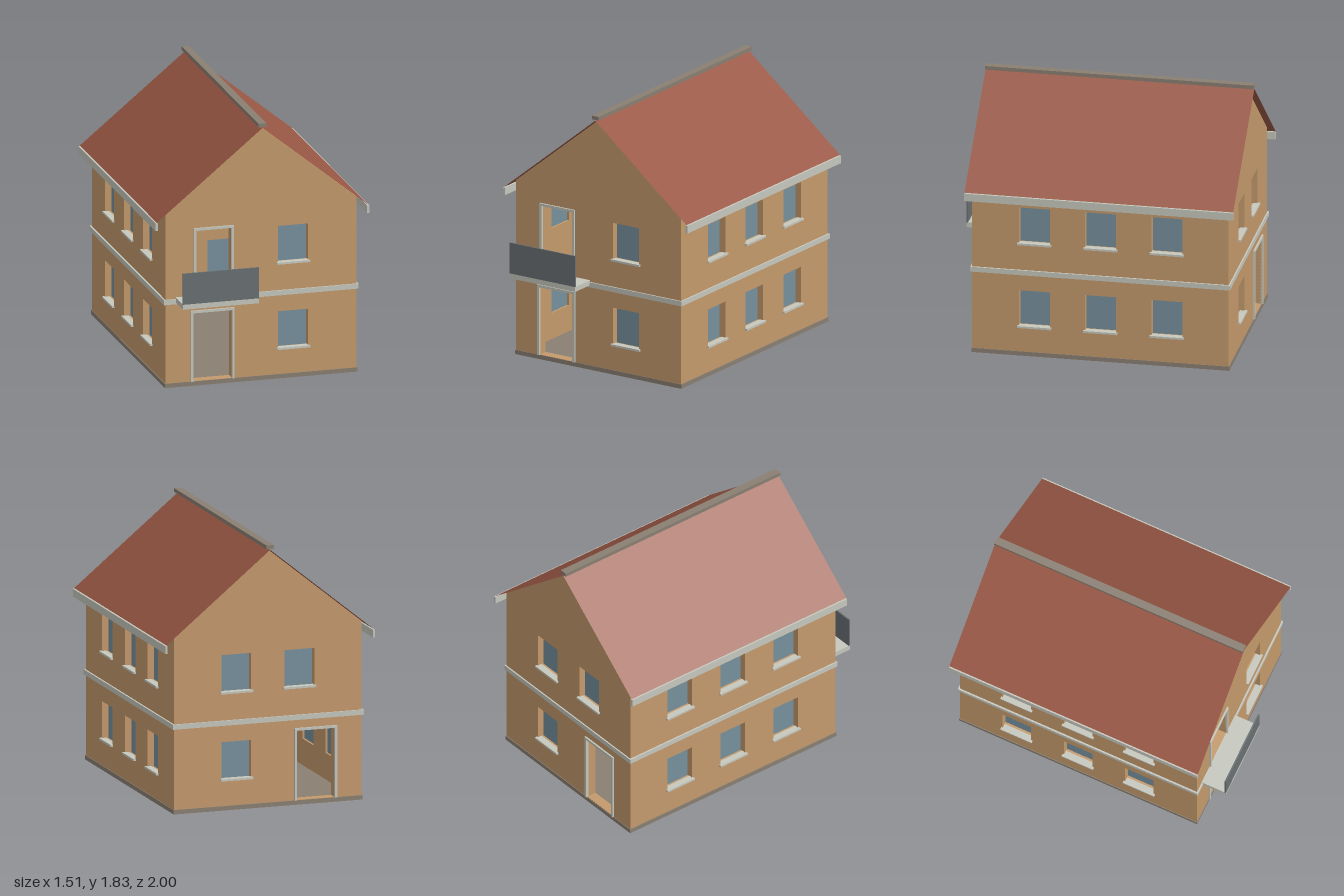
import * as THREE from 'three';

const mat = (name, color, side = THREE.FrontSide) => {
  const m = new THREE.MeshStandardMaterial({ color, side });
  m.name = name;
  return m;
};

export function createModel() {
  const wallMat = mat('ochre render', 0xc49a6c);
  const trimMat = mat('pale grey trim', 0xc6c7bd);
  const roofMat = mat('red roof', 0x9a5845, THREE.DoubleSide);
  const stoneMat = mat('taupe stone', 0x8a7f72);
  const glassMat = mat('blue glass', 0x76909d);
  const panelMat = mat('dark balcony panel', 0x696f72);

  const house = new THREE.Group();
  house.name = 'house';

  // Box given by its minimum and maximum corners
  const box = (parent, name, material, x0, x1, y0, y1, z0, z1) => {
    const mesh = new THREE.Mesh(new THREE.BoxGeometry(x1 - x0, y1 - y0, z1 - z0), material);
    mesh.position.set((x0 + x1) / 2, (y0 + y1) / 2, (z0 + z1) / 2);
    mesh.name = name;
    parent.add(mesh);
  };

  const T = 0.07;                      // wall thickness
  const X = 0.675, ZF = 0.818, ZB = -0.955;
  const zMid = (ZF + ZB) / 2;
  const sills = [0.215, 0.82], winW = 0.213, winH = 0.26;

  // Wall with openings; local z = 0 is its outer face
  const addWall = (name, outline, windows, doors, position, turn) => {
    const group = new THREE.Group();
    group.name = name;
    const shape = new THREE.Shape(outline.map(p => new THREE.Vector2(...p)));
    const cut = (x0, x1, y0, y1) => shape.holes.push(new THREE.Path(
      [[x0, y0], [x0, y1], [x1, y1], [x1, y0]].map(p => new THREE.Vector2(...p))));

    for (const [cx, y] of windows) {
      const x0 = cx - winW / 2, x1 = cx + winW / 2;
      cut(x0, x1, y, y + winH);
      box(group, 'windowPane', glassMat, x0, x1, y, y + winH, -0.055, -0.047);
      box(group, 'windowSill', trimMat, cx - 0.117, cx + 0.117, y - 0.01, y + 0.004, -0.03, 0.018);
    }
    // Door openings with a frame on the two sides and the top
    for (const [x0, x1, y0, y1] of doors) {
      const f = 0.017;
      cut(x0, x1, y0 + 0.002, y1);
      box(group, 'doorFrameSide', trimMat, x0 - f, x0, y0, y1, -0.01, 0.012);
      box(group, 'doorFrameSide', trimMat, x1, x1 + f, y0, y1, -0.01, 0.012);
      box(group, 'doorFrameTop', trimMat, x0 - f, x1 + f, y1, y1 + f, -0.01, 0.012);
    }
    const geometry = new THREE.ExtrudeGeometry(shape, { depth: T, bevelEnabled: false });
    geometry.translate(0, 0, -T);
    const wall = new THREE.Mesh(geometry, wallMat);
    wall.name = name + 'Surface';
    group.add(wall);
    group.position.set(...position);
    group.rotation.y = turn;
    house.add(group);
  };

  // Gable walls
  const gable = [[-X, 0.028], [X, 0.028], [X, 1.24], [0, 1.79], [-X, 1.24]];
  const w = 0.227;
  addWall('frontWall', gable, [[w, sills[0]], [w, sills[1]]],
    [[-0.479, -0.206, 0.03, 0.515], [-0.459, -0.21, 0.636, 1.098]], [0, 0, ZF], 0);
  addWall('backWall', gable, [[-w, sills[0]], [-w, sills[1]], [w, sills[1]]],
    [[0.206, 0.479, 0.03, 0.515]], [0, 0, ZB], Math.PI);

  // Side walls, three windows on each storey
  const half = (ZF - ZB) / 2 - T;
  const side = [[-half, 0.028], [half, 0.028], [half, 1.24], [-half, 1.24]];
  for (const s of [1, -1]) {
    const windows = [];
    for (const z of [0.387, -0.07, -0.528])
      for (const y of sills) windows.push([-s * (z - zMid), y]);
    addWall(s > 0 ? 'leftWall' : 'rightWall', side, windows, [], [s * X, 0, zMid], s * Math.PI / 2);
  }

  // Ground slab
  box(house, 'groundSlab', stoneMat, -0.68, 0.68, 0, 0.03, ZB - 0.005, ZF + 0.003);

  // Storey band round the outside
  const b = 0.012;
  box(house, 'frontBand', trimMat, -X - b, X + b, 0.59, 0.625, ZF - 0.01, ZF + 0.01);
  box(house, 'backBand', trimMat, -X - b, X + b, 0.59, 0.625, ZB - 0.01, ZB + 0.01);
  for (const s of [1, -1])
    box(house, 'sideBand', trimMat, s * X - b, s * X + b, 0.59, 0.625, ZB + 0.01, ZF - 0.01);

  // Balcony
  box(house, 'balconySlab', trimMat, -0.603, -0.067, 0.602, 0.637, ZF - 0.01, 1);
  box(house, 'balconyPanel', panelMat, -0.603, -0.067, 0.637, 0.856, 0.99, 1);

  // Thin roof slopes and gutters
  const z0 = -1, z1 = 0.856;
  const run = 0.746, rise = 0.608, top = 1.796;
  for (const s of [1, -1]) {
    const slope = new THREE.Mesh(new THREE.PlaneGeometry(Math.hypot(run, rise), z1 - z0), roofMat);
    slope.geometry.rotateX(-Math.PI / 2);
    slope.rotation.z = -s * Math.atan2(rise, run);
    slope.position.set(s * run / 2, top - rise / 2, (z0 + z1) / 2);
    slope.name = 'roofSlope';
    house.add(slope);
    const g = s * 0.747;
    box(house, 'gutter', trimMat, g - 0.008, g + 0.008, 1.13, 1.184, z0, z1);
  }
  box(house, 'ridgeCap', stoneMat, -0.027, 0.027, 1.802, 1.828, z0, z1);

  return house;
}
